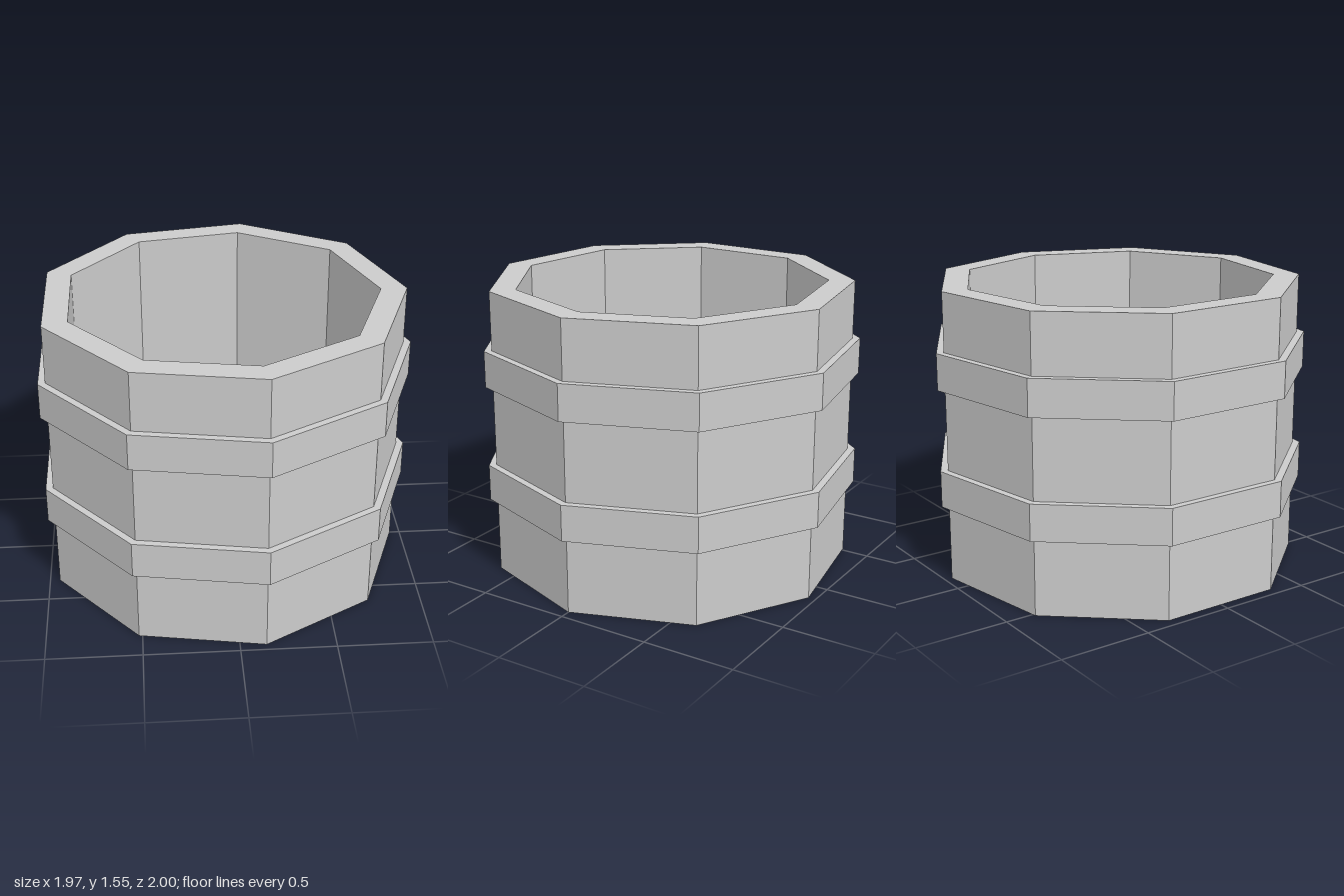
import * as THREE from 'three';

const SIDES = 9;

// Nine-sided turned part with one corner on +x
function turned(name, profile, material) {
  const points = profile.map(([r, y]) => new THREE.Vector2(r, y));
  const mesh = new THREE.Mesh(new THREE.LatheGeometry(points, SIDES, Math.PI / 2), material);
  mesh.name = name;
  return mesh;
}

export function createModel() {
  const group = new THREE.Group();
  group.name = 'barrel';
  const material = new THREE.MeshStandardMaterial({
    color: 0xcccccc, flatShading: true, side: THREE.DoubleSide,
  });

  // Outer wall, rim, inner wall and raised floor; the underside stays open
  group.add(turned('body', [
    [0.975, 0], [0.975, 1.55], [0.836, 1.55], [0.836, 0.19], [0, 0.19],
  ], material));

  // Two hoops, sunk slightly through the outer wall
  [['lowerHoop', 0.41], ['upperHoop', 1.04]].forEach(([name, y]) => {
    const top = y + 0.195;
    group.add(turned(name, [
      [0.93, y], [1.015, y], [1.015, top], [0.93, top], [0.93, y],
    ], material));
  });

  // Centre the odd-sided outline on x
  group.children.forEach((part) => { part.position.x = -0.031; });
  return group;
}
